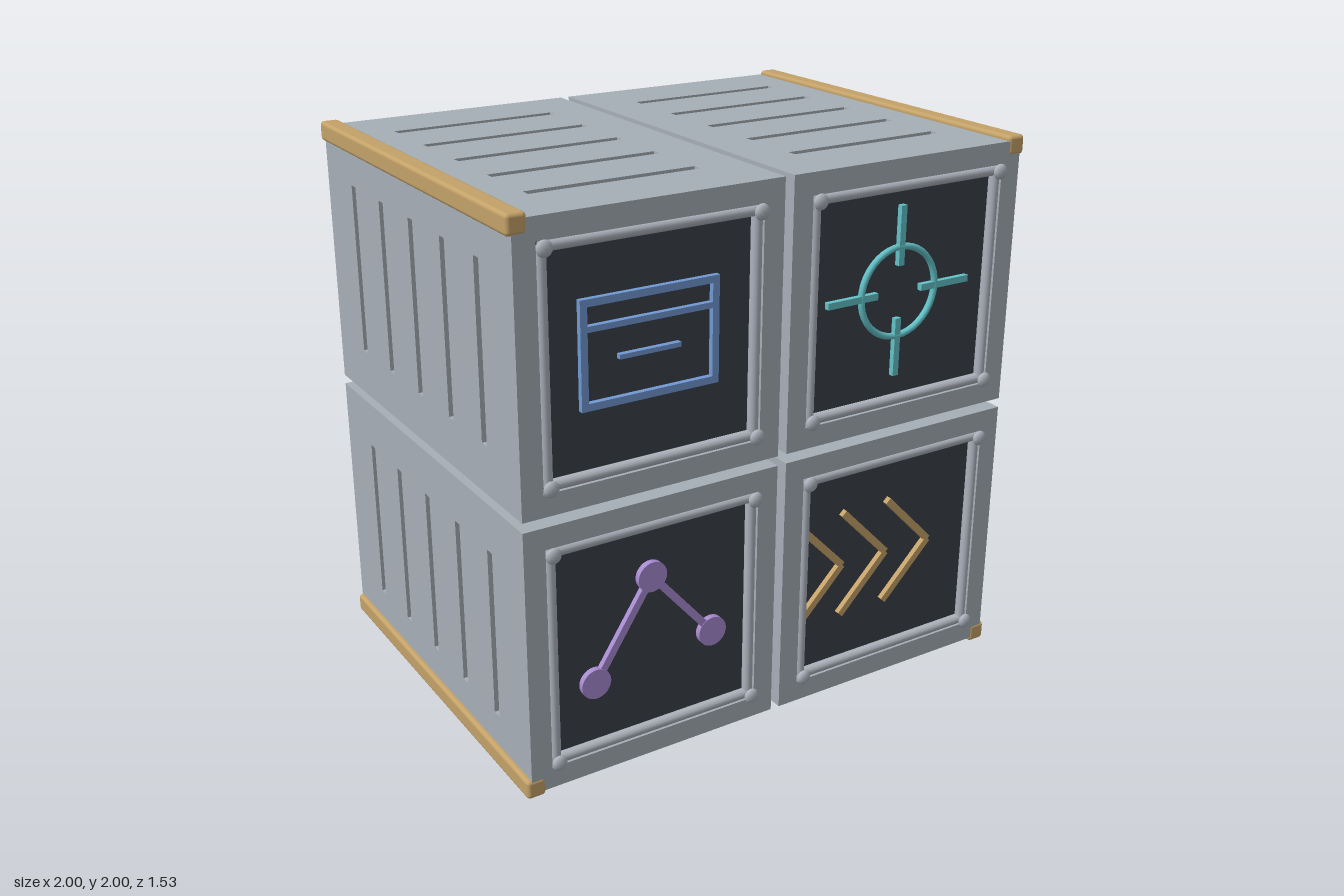
import * as THREE from 'three';
import { RoundedBoxGeometry } from 'three/addons/geometries/RoundedBoxGeometry.js';

const mat = (name, color) => {
  const m = new THREE.MeshStandardMaterial({ color });
  m.name = name;
  return m;
};

export function createModel() {
  const body = mat('steel grey', 0xa6afb7);
  const rail = mat('light steel', 0xaeb3bd);
  const gold = mat('brass', 0xc4a268);
  const dark = mat('dark panel', 0x3a404a);
  const blue = mat('blue icon', 0x7099d4);
  const teal = mat('teal icon', 0x62c2c8);
  const purple = mat('purple icon', 0xa78bd0);
  const glow = mat('pale blue core', 0x8fbbd6);

  const model = new THREE.Group();
  model.name = 'moduleCluster';
  const V = (x, y, z) => new THREE.Vector3(x, y, z);

  function add(parent, name, geo, material, x = 0, y = 0, z = 0) {
    const m = new THREE.Mesh(geo, material);
    m.name = name;
    m.position.set(x, y, z);
    parent.add(m);
    return m;
  }
  function group(name, x = 0, y = 0, z = 0) {
    const g = new THREE.Group();
    g.name = name;
    g.position.set(x, y, z);
    model.add(g);
    return g;
  }
  // Closed rectangle, used for outlines and holes
  function rect(Type, cx, cy, w, h) {
    const p = new Type();
    p.moveTo(cx - w / 2, cy - h / 2);
    p.lineTo(cx + w / 2, cy - h / 2);
    p.lineTo(cx + w / 2, cy + h / 2);
    p.lineTo(cx - w / 2, cy + h / 2);
    p.closePath();
    return p;
  }
  const extrude = (shape, depth) => new THREE.ExtrudeGeometry(shape, { depth, bevelEnabled: false });

  const SIZE = 0.965, HALF = SIZE / 2, SKIN = 0.02;
  const BACK = -0.765, FRONT = 0.735, FACE = 0.685;
  const LEN = FACE - BACK, MID = (FACE + BACK) / 2;

  // Plate with five long vents; dir says which way its local x runs along z
  function ventPlate(height, dir, offset) {
    const s = rect(THREE.Shape, 0, 0, LEN, height);
    for (let i = -2; i <= 2; i++) {
      const z = -0.015 + i * 0.25;
      s.holes.push(rect(THREE.Path, dir * (z - MID), offset, 0.036, 0.62));
    }
    return extrude(s, SKIN);
  }

  function cell(name, sx, sy) {
    const g = group(name, sx * 0.5, 1 + sy * 0.5, 0);
    // Inner block, inset where the vented plates lie
    const c = SIZE - SKIN;
    add(g, 'block', new THREE.BoxGeometry(c, c, LEN), body, -sx * SKIN / 2, -sy * SKIN / 2, MID);

    // Vented side plate
    const side = ventPlate(SIZE, -sx, 0);
    side.applyMatrix4(new THREE.Matrix4().makeBasis(V(0, 0, -sx), V(0, 1, 0), V(sx, 0, 0)));
    add(g, 'sideVents', side, body, sx * (HALF - SKIN), 0, MID);

    // Vented top or bottom plate
    const cap = ventPlate(c, sy, sx * 0.008);
    cap.applyMatrix4(new THREE.Matrix4().makeBasis(V(0, 0, sy), V(1, 0, 0), V(0, sy, 0)));
    add(g, 'capVents', cap, body, -sx * SKIN / 2, sy * (HALF - SKIN), MID);

    // Front frame with a recessed dark panel
    const frame = rect(THREE.Shape, 0, 0, SIZE, SIZE);
    frame.holes.push(rect(THREE.Path, 0, 0, 0.81, 0.81));
    add(g, 'frontFrame', extrude(frame, FRONT - FACE), body, 0, 0, FACE);
    add(g, 'panel', new THREE.BoxGeometry(0.81, 0.81, 0.008), dark, 0, 0, FACE + 0.004);

    // Round rails and corner studs
    const r = 0.385;
    for (const s of [-1, 1]) {
      add(g, 'rail', new THREE.CylinderGeometry(0.019, 0.019, 2 * r, 12), rail, s * r, 0, 0.72);
      add(g, 'rail', new THREE.CylinderGeometry(0.019, 0.019, 2 * r, 12), rail, 0, s * r, 0.72)
        .rotation.z = Math.PI / 2;
      for (const t of [-1, 1]) {
        add(g, 'stud', new THREE.SphereGeometry(0.028, 12, 8), rail, s * r, t * r, 0.75).scale.z = 0.53;
      }
    }

    // Brass trim on the outer edge
    add(g, 'edgeTrim', new RoundedBoxGeometry(0.07, 0.07, 1.503, 2, 0.014), gold,
      sx * 0.465, sy * 0.465, (BACK + FRONT) / 2 + 0.001);
  }
  cell('upperRightModule', -1, 1);
  cell('upperLeftModule', 1, 1);
  cell('lowerRightModule', -1, -1);
  cell('lowerLeftModule', 1, -1);

  // Icons inside the recesses
  const IZ = 0.703;
  function bar(g, name, material, x1, y1, x2, y2, w) {
    const len = Math.hypot(x2 - x1, y2 - y1);
    add(g, name, new THREE.BoxGeometry(len, w, 0.02), material, (x1 + x2) / 2, (y1 + y2) / 2, 0)
      .rotation.z = Math.atan2(y2 - y1, x2 - x1);
  }

  const win = group('windowIcon', -0.5, 1.51, IZ);
  const outline = rect(THREE.Shape, 0, 0, 0.505, 0.365);
  outline.holes.push(rect(THREE.Path, 0, 0, 0.455, 0.315));
  add(win, 'windowOutline', extrude(outline, 0.02), blue, 0, 0, -0.01);
  bar(win, 'titleLine', blue, -0.235, 0.085, 0.235, 0.085, 0.02);
  bar(win, 'textLine', blue, -0.115, -0.025, 0.11, -0.025, 0.016);

  const target = group('targetIcon', 0.497, 1.505, IZ);
  add(target, 'targetRing', new THREE.TorusGeometry(0.161, 0.012, 8, 40), teal);
  for (let i = 0; i < 4; i++) {
    const c = Math.round(Math.cos(i * Math.PI / 2)), s = Math.round(Math.sin(i * Math.PI / 2));
    bar(target, 'tick', teal, c * 0.095, s * 0.095, c * 0.307, s * 0.307, 0.024);
  }

  const net = group('networkIcon', 0, 0, IZ);
  const nodes = [[-0.72, 0.345], [-0.5, 0.685], [-0.26, 0.405]];
  for (const [x, y] of nodes) {
    add(net, 'node', new THREE.CylinderGeometry(0.055, 0.055, 0.024, 28), purple, x, y)
      .rotation.x = Math.PI / 2;
  }
  for (const i of [0, 1]) bar(net, 'link', purple, ...nodes[i], ...nodes[i + 1], 0.027);

  const arrows = group('chevronIcon', 0, 0.505, IZ);
  for (const tip of [0.3, 0.5, 0.7]) {
    for (const s of [-1, 1]) bar(arrows, 'chevronArm', gold, tip - 0.2, s * 0.205, tip, 0, 0.026);
  }

  // Core sphere and its rings, seen through the gaps
  const core = group('core', 0, 1, -0.01);
  add(core, 'coreSphere', new THREE.SphereGeometry(0.4, 40, 24), glow);
  function ring(name, radius, material, normal) {
    add(core, name, new THREE.TorusGeometry(radius, 0.011, 8, 64), material)
      .quaternion.setFromUnitVectors(V(0, 0, 1), normal.normalize());
  }
  ring('uprightRing', 0.5, gold, V(0, 0, 1));
  ring('tiltedRing', 0.65, gold, V(-0.37, 0.85, -0.36));
  ring('steelRing', 0.575, rail, V(0.16, 0.17, 0.15));

  return model;
}
